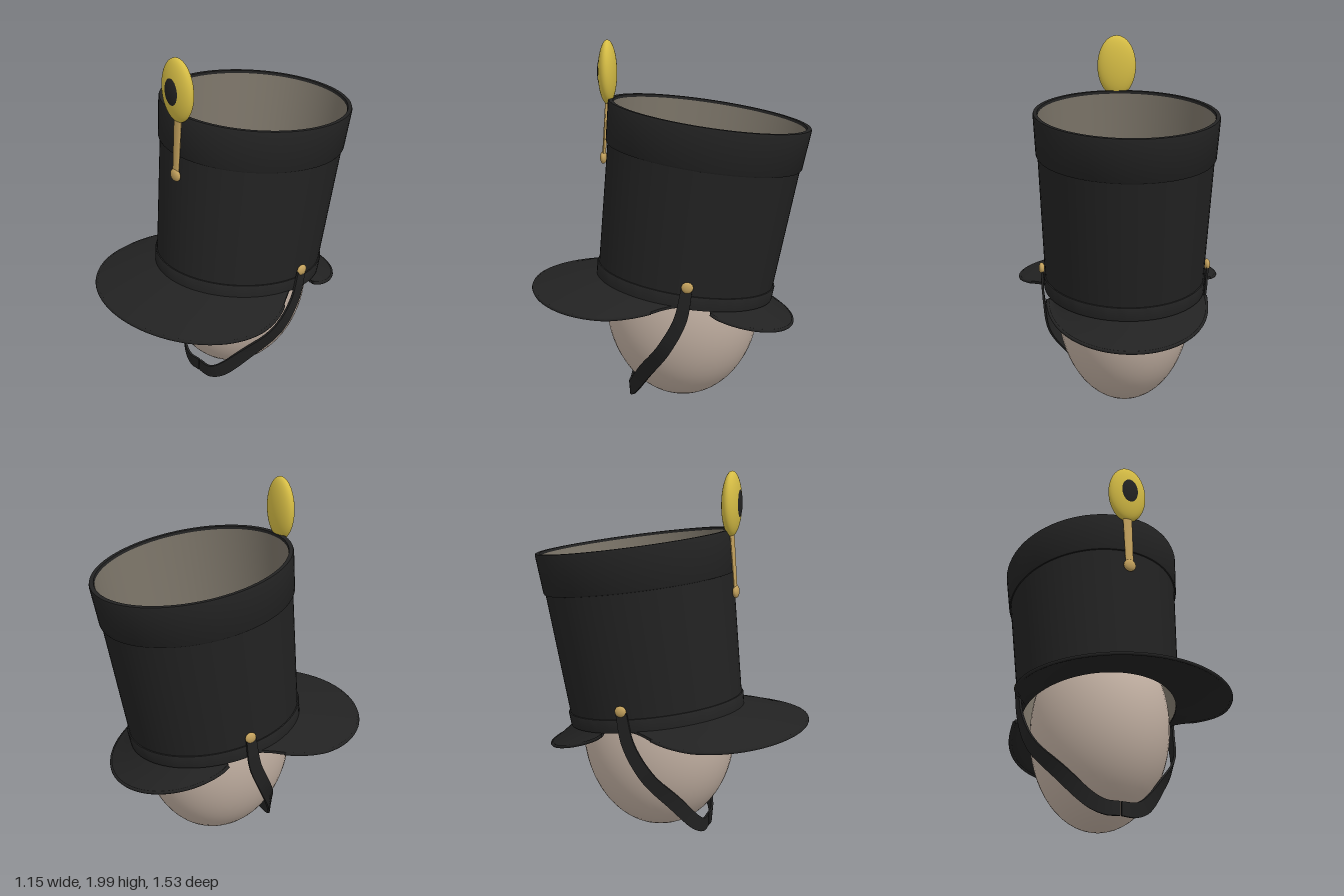
import * as THREE from 'three';
import { toCreasedNormals } from 'three/addons/utils/BufferGeometryUtils.js';

const V = (x, y, z) => new THREE.Vector3(x, y, z);
const material = (name, color) => new THREE.MeshStandardMaterial({ name, color });

// Closed solid from equal-length rings of points, with end caps, always facing outward
function loft(rings) {
  const n = rings[0].length, pts = rings.flat(), index = [];
  for (let i = 0; i < rings.length - 1; i++) {
    for (let j = 0; j < n; j++) {
      const a = i * n + j, b = i * n + (j + 1) % n;
      index.push(a, b, b + n, a, b + n, a + n);
    }
  }
  const last = (rings.length - 1) * n;
  for (let j = 1; j < n - 1; j++) index.push(0, j + 1, j, last, last + j, last + j + 1);
  let volume = 0;
  for (let k = 0; k < index.length; k += 3) {
    volume += pts[index[k]].dot(pts[index[k + 1]].clone().cross(pts[index[k + 2]]));
  }
  if (volume < 0) index.reverse();
  const g = new THREE.BufferGeometry().setFromPoints(pts);
  g.setIndex(index);
  return toCreasedNormals(g, 0.7);
}

export function createModel() {
  const model = new THREE.Group();
  const felt = material('blackFelt', 0x222222);
  const skin = material('paleHead', 0xc4b2a4);
  const lining = material('greyLining', 0x7b7468);
  const gold = material('yellowGold', 0xd6bd45);
  const brass = material('brass', 0xc2a05c);

  const add = (name, geometry, mat, parent = model) => {
    const mesh = new THREE.Mesh(geometry, mat);
    mesh.name = name;
    parent.add(mesh);
    return mesh;
  };
  const ellipsoid = (name, mat, pos, radii, parent) => {
    const g = new THREE.SphereGeometry(1, 48, 32);
    g.scale(...radii);
    add(name, g, mat, parent).position.set(...pos);
  };

  // Egg-shaped head
  ellipsoid('head', skin, [0, 0.56, -0.08], [0.37, 0.55, 0.43]);

  // Hat crown: oval lathes leaning back
  const TILT = 0.14, OVAL = 1.127, BASE = V(0, 0.66, -0.09);
  const crown = new THREE.Group();
  crown.name = 'crown';
  crown.position.copy(BASE);
  crown.rotation.x = -TILT;
  model.add(crown);
  const lathe = (name, profile, mat) => {
    const g = new THREE.LatheGeometry(profile.map(p => new THREE.Vector2(...p)), 80);
    g.scale(1, 1, OVAL);
    add(name, toCreasedNormals(g, 0.6), mat, crown);
  };
  lathe('crownWall', [[0.412, 0], [0.43, 0], [0.468, 0.75]], felt);
  lathe('crownLining', [[0.465, 0.955], [0.412, 0]], lining);
  lathe('topBand', [[0.464, 0.735], [0.473, 0.737], [0.477, 0.745], [0.49, 0.955],
    [0.487, 0.965], [0.467, 0.965], [0.464, 0.95]], felt);
  lathe('lowerBand', [[0.412, -0.004], [0.438, -0.004], [0.442, 0.062], [0.439, 0.068], [0.43, 0.07]], felt);

  // Point on the tilted lower edge of the crown; angle 0 is the front
  const crownEdge = (a, k) => V(k * 0.43 * Math.sin(a), 0, k * 0.43 * OVAL * Math.cos(a))
    .applyAxisAngle(V(1, 0, 0), -TILT).add(BASE);

  // Brim between the crown edge and an outer curve, with a piped rim
  const brim = (name, inner, outer, lift) => {
    const rings = [], rim = [], N = 56;
    for (let i = 0; i <= N; i++) {
      const t = i / N * 2 - 1, a = inner(t), b = outer(t);
      const row = [0, 0.33, 0.67, 1].map(s => {
        const p = a.clone().lerp(b, s);
        p.y += lift * 4 * s * (1 - s);
        return p;
      });
      const shift = dy => p => p.clone().add(V(0, dy, 0));
      rings.push([...row.map(shift(0.007)), ...row.map(shift(-0.007)).reverse()]);
      rim.push(b);
    }
    add(name, loft(rings), felt);
    add(name + 'Rim', new THREE.TubeGeometry(new THREE.CatmullRomCurve3(rim), 90, 0.009, 8), felt);
  };
  brim('frontBrim', t => crownEdge(t * 1.6, 0.96), t => {
    const a = t * 2.06, c = Math.cos(a);
    return V(0.567 * Math.sin(a), 0.625 + 0.027 * c * c + 0.03 * Math.max(0, Math.abs(a) - 1.57), 0.27 + 0.482 * c);
  }, 0.006);
  brim('backBrim', t => crownEdge(Math.PI - t * 1.2, 0.96), t => {
    const a = t * Math.PI / 2, c = Math.max(0, Math.cos(a));
    return V(0.425 * Math.sin(a), 0.625 - 0.167 * Math.pow(c, 0.75), -0.26 - 0.435 * c);
  }, -0.008);

  // Chin strap halves and side buttons: centre line and half-width direction
  const path = [
    [[0.452, 0.77, -0.14], [0, 0, 0.03]],
    [[0.442, 0.59, -0.105], [0, 0.008, 0.034]],
    [[0.405, 0.41, -0.015], [-0.006, 0.018, 0.033]],
    [[0.28, 0.235, 0.1], [-0.018, 0.022, 0.03]],
    [[0.15, 0.085, 0.185], [-0.015, 0.035, 0.012]],
    [[0.08, 0.05, 0.208], [0, 0.039, 0.003]],
    [[0.004, 0.05, 0.21], [0, 0.037, 0]],
  ];
  for (const [side, s] of [['left', 1], ['right', -1]]) {
    const edge = k => new THREE.CatmullRomCurve3(path.map(([c, w]) =>
      V((c[0] + k * w[0]) * s, c[1] + k * w[1], c[2] + k * w[2])));
    const upper = edge(1), lower = edge(-1), rings = [], N = 40;
    for (let i = 0; i <= N; i++) {
      const a = upper.getPoint(i / N), b = lower.getPoint(i / N);
      const n = upper.getTangent(i / N).cross(a.clone().sub(b)).setLength(0.006);
      rings.push([a.clone().add(n), b.clone().add(n), b.clone().sub(n), a.clone().sub(n)]);
    }
    add(side + 'ChinStrap', loft(rings), felt);
    ellipsoid(side + 'StrapButton', brass, [0.452 * s, 0.772, -0.142], [0.016, 0.03, 0.032]);
  }

  // Front ornament: oval badge, dark centre, stem and ball
  const ornament = new THREE.Group();
  ornament.name = 'frontOrnament';
  model.add(ornament);
  ellipsoid('badge', gold, [0, 1.828, 0.328], [0.11, 0.172, 0.05], ornament);
  ellipsoid('badgeCentre', felt, [0, 1.83, 0.356], [0.061, 0.094, 0.027], ornament);
  const stem = new THREE.CylinderGeometry(0.027, 0.023, 0.31, 24);
  stem.scale(1, 1, 0.4);
  const stemMesh = add('stem', stem, brass, ornament);
  stemMesh.position.set(0, 1.52, 0.343);
  stemMesh.rotation.x = -0.075;
  ellipsoid('stemBall', brass, [0, 1.362, 0.357], [0.035, 0.035, 0.018], ornament);

  return model;
}
